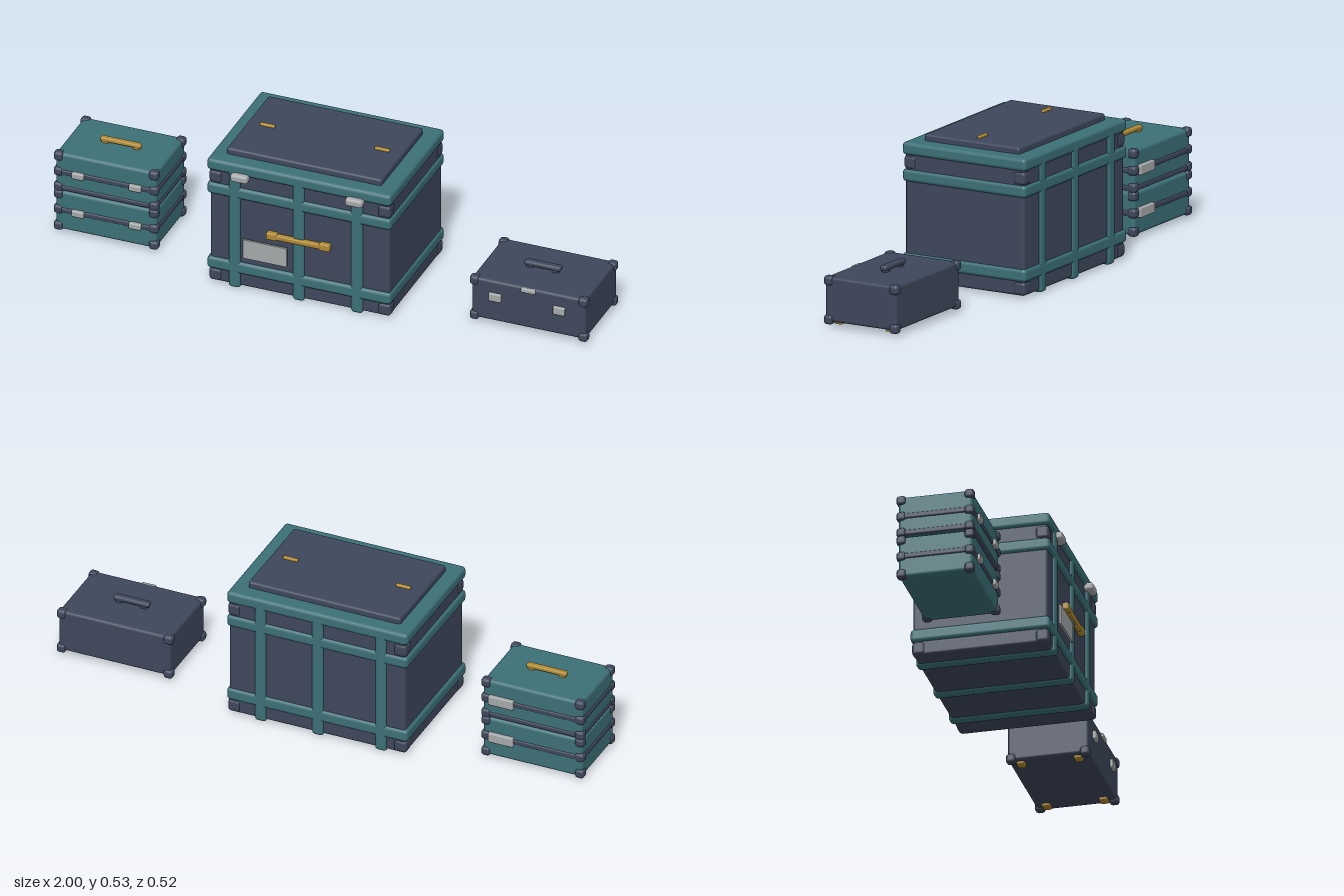
import * as THREE from 'three';
import { RoundedBoxGeometry } from 'three/addons/geometries/RoundedBoxGeometry.js';

const material = (name, color) => {
  const m = new THREE.MeshStandardMaterial({ color });
  m.name = name;
  return m;
};

export function createModel() {
  const teal = material('teal leather', 0x3b7077);
  const navy = material('navy leather', 0x3e475b);
  const gold = material('brass', 0xb08a32);
  const silver = material('steel', 0xa6a9aa);

  const root = new THREE.Group();
  root.name = 'luggageSet';
  const newGroup = (name) => {
    const g = new THREE.Group();
    g.name = name;
    root.add(g);
    return g;
  };

  // Rounded box between two limits on each axis
  const box = (parent, name, mat, [x0, x1], [y0, y1], [z0, z1], r = 0.01) => {
    const w = x1 - x0, h = y1 - y0, d = z1 - z0;
    const radius = Math.min(r, w * 0.45, h * 0.45, d * 0.45);
    const mesh = new THREE.Mesh(new RoundedBoxGeometry(w, h, d, 2, radius), mat);
    mesh.position.set((x0 + x1) / 2, (y0 + y1) / 2, (z0 + z1) / 2);
    mesh.name = name;
    parent.add(mesh);
    return mesh;
  };
  const around = (c, size) => [c - size / 2, c + size / 2];

  // Corner guards at every combination of the given centres
  const corners = (parent, xs, ys, zs, size, r) => {
    for (const x of xs) for (const y of ys) for (const z of zs)
      box(parent, 'cornerGuard', navy, around(x, size), around(y, size), around(z, size), r);
  };

  // ---- Large trunk ----
  const trunk = newGroup('trunk');
  box(trunk, 'trunkBody', navy, [-0.37, 0.3], [0.01, 0.47], [-0.25, 0.23]);
  for (const [y0, y1] of [[0.06, 0.107], [0.36, 0.405]])
    box(trunk, 'trunkBand', teal, [-0.38, 0.307], [y0, y1], [-0.258, 0.24], 0.013);
  box(trunk, 'trunkLid', teal, [-0.38, 0.307], [0.455, 0.5], [-0.258, 0.24], 0.013);
  box(trunk, 'lidPanel', navy, [-0.328, 0.25], [0.49, 0.523], [-0.2, 0.183], 0.008);
  corners(trunk, [-0.35, 0.28], [0.036, 0.429], [-0.23, 0.211], 0.048, 0.012);

  // Straps wrap the front, bottom and back
  for (const x of [-0.278, -0.038, 0.179])
    box(trunk, 'trunkStrap', teal, around(x, 0.044), [0.002, 0.48], [-0.258, 0.24], 0.012);

  // Front clasps and lid tabs
  for (const x of [-0.253, 0.176]) {
    box(trunk, 'trunkClasp', silver, around(x, 0.064), [0.438, 0.468], [0.225, 0.261], 0.01);
    box(trunk, 'lidTab', gold, around(x, 0.056), [0.515, 0.531], around(-0.008, 0.014), 0.004);
  }

  // Front handle with thicker ends, and tag plate
  box(trunk, 'trunkHandle', gold, [-0.15, 0.08], [0.233, 0.252], [0.228, 0.249], 0.005);
  for (const x of [-0.135, 0.062])
    box(trunk, 'trunkHandleEnd', gold, around(x, 0.04), [0.229, 0.257], [0.225, 0.25], 0.006);
  box(trunk, 'tagPlate', silver, [-0.242, -0.077], [0.133, 0.208], [0.238, 0.247], 0.002);

  // ---- Two stacked teal cases ----
  const stack = newGroup('stackedCases');
  for (const [y0, y1] of [[0.015, 0.168], [0.172, 0.32]]) {
    const c = new THREE.Group();
    c.name = 'stackedCase';
    stack.add(c);
    const seam = y0 < 0.1 ? 0.094 : 0.246;
    box(c, 'caseBody', teal, [-0.993, -0.617], [y0, y1], [-0.143, 0.12], 0.012);
    box(c, 'caseSeam', navy, [-0.997, -0.613], around(seam, 0.02), [-0.147, 0.124], 0.006);
    corners(c, [-0.983, -0.627], [y0 + 0.013, seam, y1 - 0.013], [-0.133, 0.11], 0.034, 0.011);
    for (const x of [-0.907, -0.693])
      box(c, 'caseLatch', silver, around(x, 0.045), around(seam, 0.024), [0.11, 0.134], 0.005);
    box(c, 'caseHinge', silver, [-0.735, -0.64], around(seam, 0.036), [-0.157, -0.135], 0.004);
  }
  box(stack, 'joiningBand', navy, [-0.996, -0.614], [0.173, 0.193], [-0.146, 0.123], 0.006);
  box(stack, 'caseHandle', gold, [-0.877, -0.725], [0.325, 0.341], around(-0.011, 0.022), 0.006);
  for (const x of [-0.86, -0.742])
    box(stack, 'caseHandlePost', gold, around(x, 0.024), [0.31, 0.335], around(-0.011, 0.018), 0.004);

  // ---- Small navy case ----
  const small = newGroup('smallCase');
  box(small, 'smallBody', navy, [0.568, 0.993], [0.022, 0.181], [-0.151, 0.136], 0.01);
  corners(small, [0.577, 0.983], [0.029, 0.168], [-0.14, 0.124], 0.034, 0.011);
  box(small, 'smallHandle', navy, [0.709, 0.846], [0.187, 0.206], around(-0.008, 0.028), 0.008);
  for (const x of [0.73, 0.825])
    box(small, 'smallHandlePost', navy, around(x, 0.026), [0.17, 0.195], around(-0.008, 0.022), 0.005);
  for (const x of [0.657, 0.897])
    box(small, 'smallLatch', silver, around(x, 0.045), [0.104, 0.135], [0.125, 0.147], 0.004);
  box(small, 'smallClasp', silver, [0.753, 0.807], [0.163, 0.179], [0.125, 0.143], 0.004);
  for (const x of [0.603, 0.957]) for (const z of [-0.11, 0.094])
    box(small, 'smallFoot', gold, around(x, 0.04), [0.012, 0.032], around(z, 0.03), 0.006);

  return root;
}
